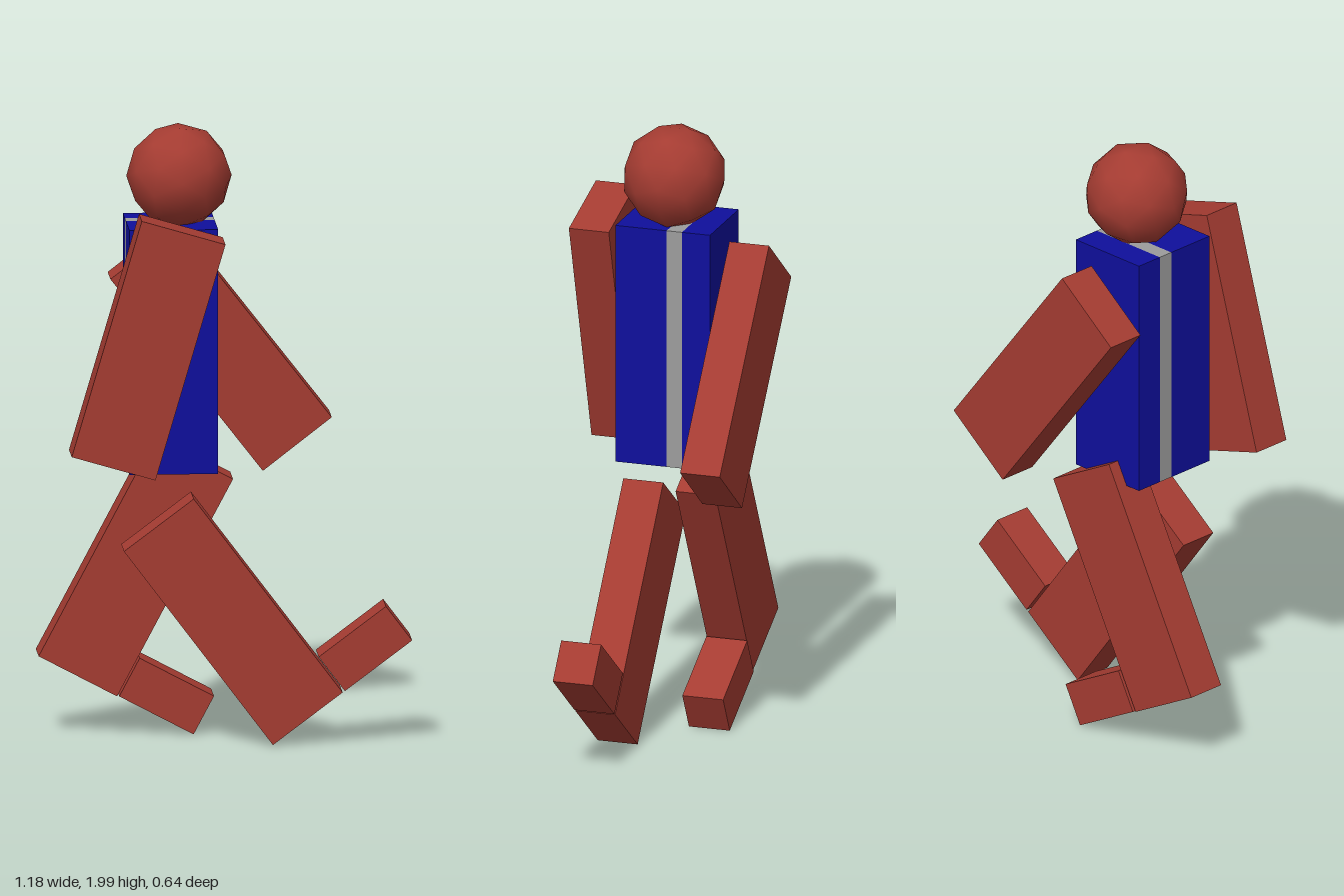
import * as THREE from 'three';

const skin = new THREE.MeshStandardMaterial({ color: 0xa53c32 });
const blue = new THREE.MeshStandardMaterial({ color: 0x0f0f9c });
const grey = new THREE.MeshStandardMaterial({ color: 0x9c9c9c });

export function createModel() {
  const model = new THREE.Group();

  // Box centred at (x, y), spanning z0..z1, swung about z by angle
  function block(name, material, x, y, w, h, z0, z1, angle = 0) {
    const mesh = new THREE.Mesh(new THREE.BoxGeometry(w, h, z1 - z0), material);
    mesh.name = name;
    mesh.position.set(x, y, (z0 + z1) / 2);
    mesh.rotation.z = angle;
    model.add(mesh);
  }

  // Torso: two blue slabs with a grey strip between them
  block('torsoFront', blue, -0.175, 1.292, 0.285, 0.795, -0.008, 0.165);
  block('torsoStrip', grey, -0.175, 1.292, 0.285, 0.795, -0.06, -0.008);
  block('torsoBack', blue, -0.175, 1.292, 0.285, 0.795, -0.155, -0.06);

  // Swinging arms
  block('frontArm', skin, -0.266, 1.325, 0.28, 0.797, 0.183, 0.318, -0.286);
  block('backArm', skin, 0, 1.24, 0.28, 0.797, -0.32, -0.186, 0.661);

  // Striding legs, each with a foot square to it
  block('frontLeg', skin, 0.016, 0.412, 0.28, 0.795, 0.03, 0.165, 0.645);
  block('frontFoot', skin, 0.44, 0.32, 0.27, 0.14, 0.03, 0.165, 0.645);
  block('backLeg', skin, -0.282, 0.552, 0.285, 0.795, -0.195, -0.06, -0.487);
  block('backFoot', skin, -0.183, 0.132, 0.27, 0.14, -0.2, -0.062, -0.487);

  // Head: smooth icosphere with its pole along x
  const ball = new THREE.IcosahedronGeometry(0.169, 1);
  ball.rotateZ(-Math.atan2((1 + Math.sqrt(5)) / 2, -1));
  const head = new THREE.Mesh(ball, skin);
  head.name = 'head';
  head.position.set(-0.148, 1.839, 0.005);
  model.add(head);

  return model;
}
